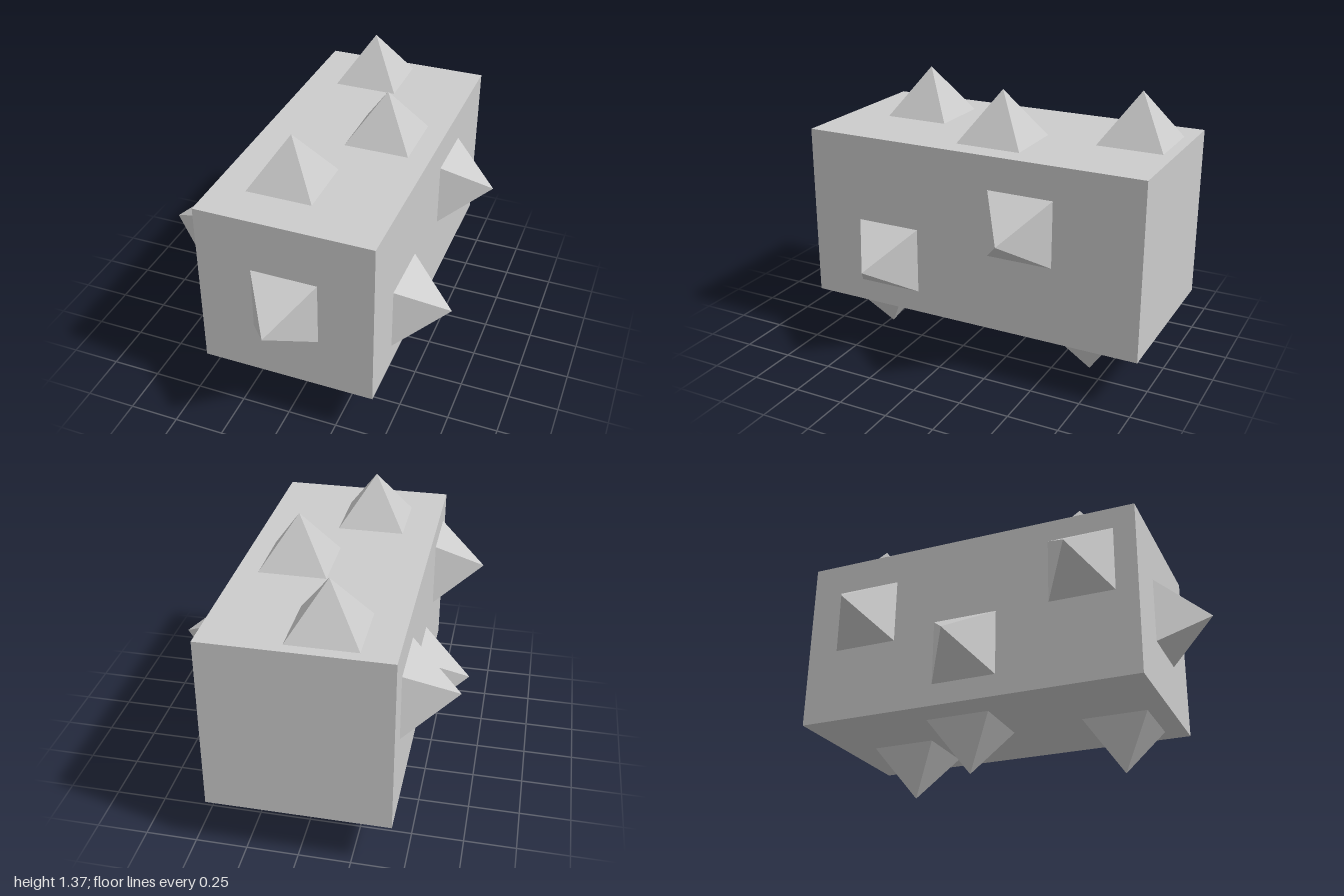
import * as THREE from 'three';

const BODY = { w: 0.875, h: 0.875, d: 1.75, y: 0.6875, z: -0.125 };
const SPIKE = { base: 0.33, height: 0.247 };

export function createModel() {
  const group = new THREE.Group();
  const material = new THREE.MeshStandardMaterial({ color: 0xcccccc, flatShading: true });

  // Long square block
  const body = new THREE.Mesh(new THREE.BoxGeometry(BODY.w, BODY.h, BODY.d), material);
  body.name = 'body';
  body.position.set(0, BODY.y, BODY.z);
  group.add(body);

  // Four-sided pyramid with its base at the origin, sides square to the axes
  const pyramid = new THREE.ConeGeometry(SPIKE.base / Math.SQRT2, SPIKE.height, 4, 1, false, Math.PI / 4);
  pyramid.translate(0, SPIKE.height / 2, 0);

  const side = BODY.w / 2;
  const top = BODY.y + BODY.h / 2;
  const bottom = BODY.y - BODY.h / 2;
  const front = BODY.z + BODY.d / 2;

  // Spikes by face: rotation that points them outward, and base centres
  const faces = [
    { name: 'topSpike', rot: [0, 0, 0], at: [[-0.11, top, -0.78], [0.165, top, -0.18], [-0.11, top, 0.37]] },
    { name: 'bottomSpike', rot: [Math.PI, 0, 0], at: [[0.165, bottom, 0.48], [-0.11, bottom, -0.23], [0.165, bottom, -0.67]] },
    { name: 'leftSpike', rot: [0, 0, -Math.PI / 2], at: [[side, 0.525, 0.315], [side, 0.795, -0.4]] },
    { name: 'rightSpike', rot: [0, 0, Math.PI / 2], at: [[-side, 0.795, -0.675], [-side, 0.525, -0.125], [-side, 0.85, 0.475]] },
    { name: 'frontSpike', rot: [Math.PI / 2, 0, 0], at: [[0, 0.6875, front]] },
  ];
  for (const { name, rot, at } of faces) {
    at.forEach((p, i) => {
      const spike = new THREE.Mesh(pyramid, material);
      spike.name = name + (i + 1);
      spike.rotation.set(...rot);
      spike.position.set(...p);
      group.add(spike);
    });
  }
  return group;
}
